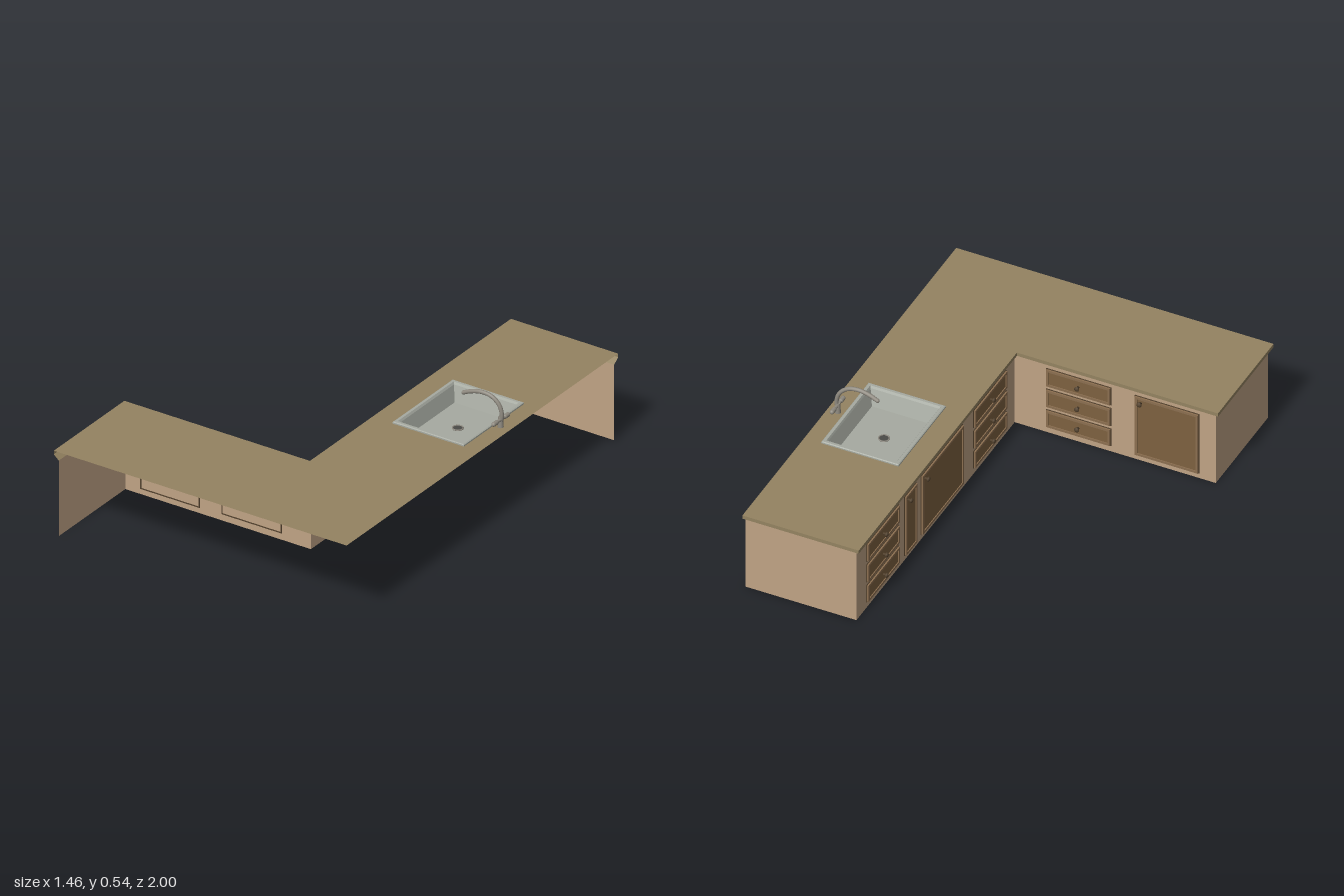
import * as THREE from 'three';

const mat = (color) => new THREE.MeshStandardMaterial({ color, side: THREE.DoubleSide });
const bodyMat = mat(0xc0a385), topMat = mat(0x948361), frameMat = mat(0x8c6f50), panelMat = mat(0x7d6140);
const seamMat = mat(0x54432f), steelMat = mat(0xa6aaa1), tapMat = mat(0x8f8a80), darkMat = mat(0x4a4a47);

function add(parent, name, geometry, material, x = 0, y = 0, z = 0) {
  const mesh = new THREE.Mesh(geometry, material);
  mesh.name = name;
  mesh.position.set(x, y, z);
  parent.add(mesh);
  return mesh;
}

// Flat-shaded skin through rows of [x, y, z] points
function loft(rows) {
  const pos = [];
  for (let r = 0; r < rows.length - 1; r++) {
    for (let i = 0; i < rows[r].length - 1; i++) {
      const a = rows[r][i], b = rows[r][i + 1], c = rows[r + 1][i + 1], d = rows[r + 1][i];
      pos.push(...a, ...b, ...c, ...a, ...c, ...d);
    }
  }
  const g = new THREE.BufferGeometry();
  g.setAttribute('position', new THREE.Float32BufferAttribute(pos, 3));
  g.computeVertexNormals();
  return g;
}

function rect(Type, x0, x1, y0, y1) {
  const s = new Type();
  s.moveTo(x0, y0);
  s.lineTo(x1, y0);
  s.lineTo(x1, y1);
  s.lineTo(x0, y1);
  s.closePath();
  return s;
}

// Rectangular ring, centred, of border b and depth d
function ring(w, h, b, d) {
  const s = rect(THREE.Shape, -w / 2, w / 2, -h / 2, h / 2);
  s.holes.push(rect(THREE.Path, -w / 2 + b, w / 2 - b, -h / 2 + b, h / 2 - b));
  return new THREE.ExtrudeGeometry(s, { depth: d, bevelEnabled: false });
}

// Framed cabinet front facing local +z, with its knob
function cabinetFront(parent, name, x0, x1, y0, y1, knobX, knobY) {
  const g = new THREE.Group(), w = x1 - x0, h = y1 - y0;
  g.name = name;
  g.position.set((x0 + x1) / 2, (y0 + y1) / 2, 0);
  add(g, 'seam', ring(w, h, 0.005, 0.005), seamMat, 0, 0, -0.002);
  add(g, 'frame', ring(w - 0.006, h - 0.006, 0.011, 0.01), frameMat);
  add(g, 'panel', new THREE.BoxGeometry(w - 0.026, h - 0.026, 0.006), panelMat, 0, 0, 0.003);
  const profile = [[0, 0], [0.006, 0], [0.005, 0.01], [0.011, 0.014], [0.011, 0.018], [0.007, 0.022], [0, 0.023]];
  const knob = new THREE.LatheGeometry(profile.map((p) => new THREE.Vector2(...p)), 16).rotateX(Math.PI / 2);
  add(g, 'knob', knob, seamMat, knobX - g.position.x, knobY - g.position.y, 0.005);
  parent.add(g);
}

function drawers(parent, x0, x1) {
  for (const [y0, y1] of [[0.03, 0.12], [0.135, 0.228], [0.243, 0.335]]) {
    cabinetFront(parent, 'drawer', x0, x1, y0, y1, (x0 + x1) / 2, (y0 + y1) / 2);
  }
}

export function createModel() {
  const model = new THREE.Group();
  model.name = 'cornerKitchen';

  // Plan outlines [x, z] of the worktop edge and the cabinet walls
  const outer = [[0.73, -1], [0.195, -1], [0.195, 0.48], [-0.73, 0.48], [-0.73, 1]];
  const inner = [[0.73, -0.97], [0.22, -0.97], [0.22, 0.51], [-0.705, 0.51], [-0.705, 1]];
  const at = (path, y) => path.map(([x, z]) => [x, y, z]);
  add(model, 'cabinetWalls', loft([at(inner, 0), at(inner, 0.355)]), bodyMat);
  add(model, 'worktopEdge', loft([at(inner, 0.355), at(outer, 0.377), at(outer, 0.394)]), topMat);

  // Worktop sheet with the sink opening
  const top = new THREE.Shape([...outer, [0.73, 1]].map(([x, z]) => new THREE.Vector2(x, -z)));
  top.holes.push(rect(THREE.Path, 0.318, 0.632, 0.0, 0.4));
  add(model, 'worktop', new THREE.ShapeGeometry(top).rotateX(-Math.PI / 2), topMat, 0, 0.394, 0);

  // Fronts on the short arm (local x = -x) and on the long arm (local x = z)
  const shortArm = new THREE.Group();
  shortArm.name = 'shortArmFronts';
  shortArm.position.z = 0.51;
  shortArm.rotation.y = Math.PI;
  cabinetFront(shortArm, 'door', 0.333, 0.63, 0.025, 0.335, 0.362, 0.305);
  drawers(shortArm, -0.075, 0.225);
  const longArm = new THREE.Group();
  longArm.name = 'longArmFronts';
  longArm.position.x = 0.22;
  longArm.rotation.y = -Math.PI / 2;
  drawers(longArm, 0.12, 0.425);
  cabinetFront(longArm, 'wideDoor', -0.37, 0.02, 0.025, 0.335, -0.34, 0.305);
  cabinetFront(longArm, 'narrowDoor', -0.525, -0.415, 0.025, 0.335, -0.5, 0.305);
  drawers(longArm, -0.88, -0.58);
  model.add(shortArm, longArm);

  // Sink: rim, sloping basin and floor
  const sink = new THREE.Group();
  sink.name = 'sink';
  const loop = (x0, x1, z0, z1, y) => [[x0, y, z0], [x0, y, z1], [x1, y, z1], [x1, y, z0], [x0, y, z0]];
  const drain = [0.472, -0.2];
  add(sink, 'basin', loft([
    loop(0.296, 0.652, -0.422, 0.022, 0.394),
    loop(0.296, 0.652, -0.422, 0.022, 0.4),
    loop(0.3, 0.648, -0.418, 0.018, 0.403),
    loop(0.312, 0.636, -0.406, 0.006, 0.403),
    loop(0.318, 0.632, -0.4, 0, 0.394),
    loop(0.336, 0.612, -0.376, -0.028, 0.325),
    loop(drain[0], drain[0], drain[1], drain[1], 0.325),
  ]), steelMat);
  add(sink, 'drain', new THREE.CylinderGeometry(0.024, 0.024, 0.01, 24), darkMat, drain[0], 0.3225, drain[1]);
  add(sink, 'drainRing', new THREE.TorusGeometry(0.022, 0.003, 8, 24).rotateX(Math.PI / 2), tapMat, drain[0], 0.327, drain[1]);
  model.add(sink);

  // Tap: base, curved spout and cross handles
  const tap = new THREE.Group();
  tap.name = 'tap';
  add(tap, 'tapBase', new THREE.CylinderGeometry(0.01, 0.013, 0.05, 20), tapMat, 0.682, 0.417, -0.205);
  const spout = new THREE.CatmullRomCurve3([
    [0.682, 0.41, -0.205], [0.688, 0.45, -0.205], [0.675, 0.495, -0.204], [0.64, 0.527, -0.2],
    [0.592, 0.535, -0.196], [0.54, 0.523, -0.194], [0.505, 0.507, -0.194],
  ].map((p) => new THREE.Vector3(...p)));
  add(tap, 'spout', new THREE.TubeGeometry(spout, 40, 0.009, 14), tapMat);
  add(tap, 'spoutTip', new THREE.SphereGeometry(0.009, 14, 10), tapMat, 0.505, 0.507, -0.194);
  add(tap, 'handleBar', new THREE.CylinderGeometry(0.007, 0.007, 0.11, 14).rotateX(Math.PI / 2), tapMat, 0.684, 0.43, -0.203);
  for (const s of [-1, 1]) {
    add(tap, 'handle', new THREE.CapsuleGeometry(0.01, 0.02, 6, 14).rotateX(Math.PI / 2), tapMat, 0.684, 0.43, -0.203 + s * 0.042);
  }
  model.add(tap);
  return model;
}
